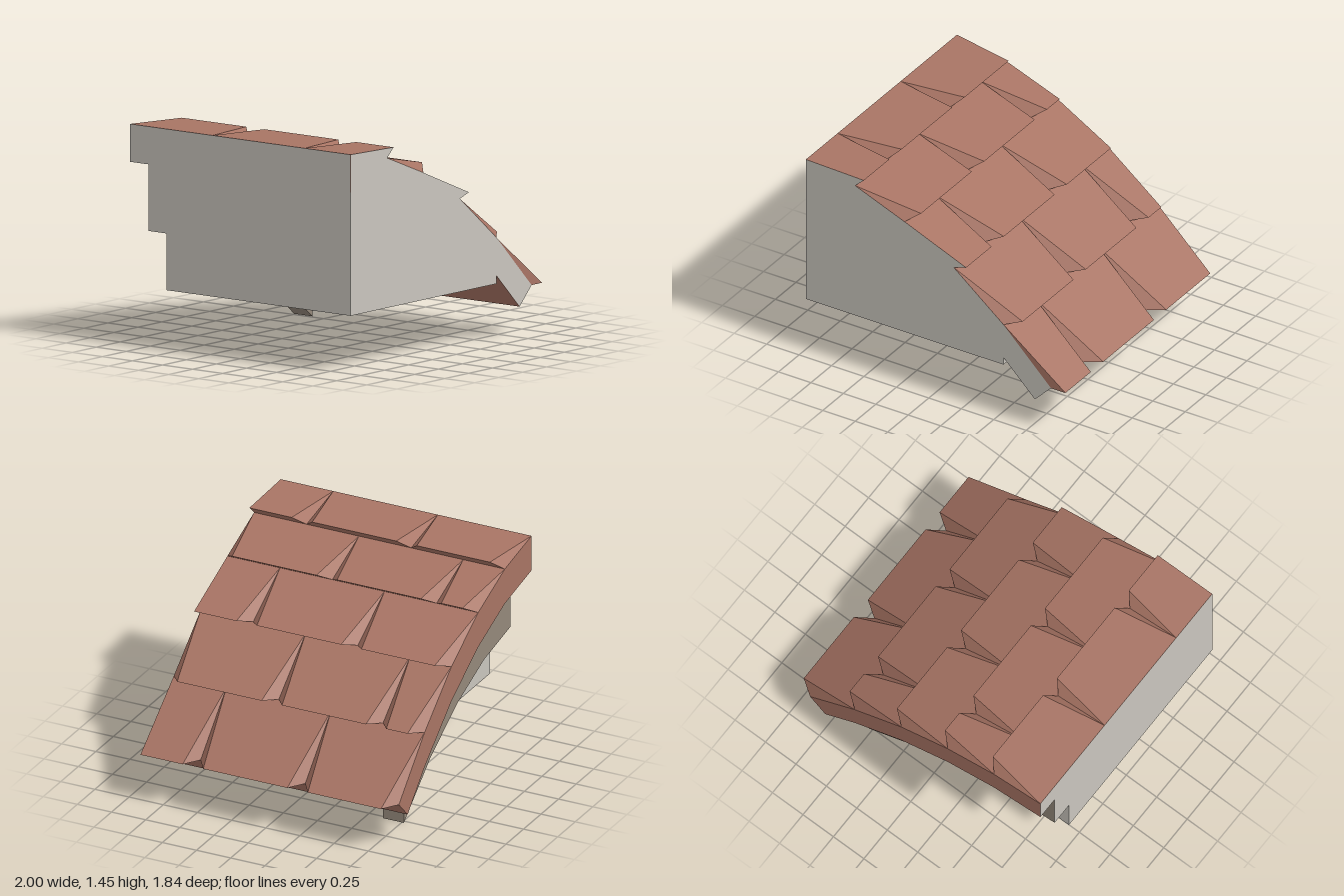
import * as THREE from 'three';

const Z = 0.917, TAPER = 0.075;
// rafter line under the tiles (x, y), and the raised lower edge of each tile row
const base = [[-1, 1.45], [-0.62, 1.375], [-0.24, 1.225], [0.14, 1.0], [0.523, 0.69], [0.89, 0.325]];
const lips = [[-0.553, 1.437], [-0.16, 1.275], [0.235, 1.03], [0.623, 0.707], [1, 0.325]];
const joints = [[-0.232, 0.533], [-0.613, 0.15]]; // staggered from row to row

const drop = (pts, d) => pts.map(([x, y]) => [x, y - d]);
const shapeOf = (pts) => new THREE.Shape(pts.map(([x, y]) => new THREE.Vector2(x, y)));

// outline in x/y extruded between two z positions
function slab(name, pts, z0, z1, material) {
  const g = new THREE.ExtrudeGeometry(shapeOf(pts), { depth: z1 - z0, bevelEnabled: false });
  g.translate(0, 0, z0);
  const m = new THREE.Mesh(g, material);
  m.name = name;
  return m;
}

// one wedge tile: flush at its top, lifted at its lower edge, tapered at the joints
function wedge(out, s, r, b, z0, z1, t0, t1) {
  const p = ([x, y], z) => [x, y, z];
  const S0 = p(s, z0), S1 = p(s, z1), B0 = p(b, z0), B1 = p(b, z1);
  const R0 = p(r, z0 + t0), R1 = p(r, z1 - t1);
  for (const tri of [[S0, S1, R1], [S0, R1, R0], [R0, R1, B1], [R0, B1, B0], [S0, R0, B0], [S1, B1, R1]])
    out.push(...tri.flat());
}

export function createModel() {
  const clay = new THREE.MeshStandardMaterial({ color: 0xa87464 });
  clay.name = 'clay tile';
  const plaster = new THREE.MeshStandardMaterial({ color: 0xc9c5bd });
  plaster.name = 'plaster';
  const timber = new THREE.MeshStandardMaterial({ color: 0x94887a });
  timber.name = 'timber';

  const group = new THREE.Group();
  group.name = 'roofSection';

  // lower side of the roof deck, and the eave corner
  const under = drop(base.slice(0, 5), 0.25);
  const eave = [0.765, 0.2];
  group.add(slab('roofDeck', [...base, eave, ...[...under].reverse()], -Z, Z - 0.001, clay));

  // tile rows
  lips.forEach((lip, i) => {
    const cuts = [-Z, ...joints[i % 2], Z];
    const pos = [];
    for (let k = 0; k < 3; k++) {
      const flush = k === 2 && i % 2 === 0; // odd courses end square at the front
      wedge(pos, base[i], lip, base[i + 1], cuts[k], cuts[k + 1], TAPER, flush ? 0 : TAPER);
    }
    const g = new THREE.BufferGeometry();
    g.setAttribute('position', new THREE.Float32BufferAttribute(pos, 3));
    g.computeVertexNormals();
    const row = new THREE.Mesh(g, clay);
    row.name = 'tileRow' + (i + 1);
    group.add(row);
  });

  // curved timber beam under the rear verge
  const beam = [...under, ...drop(under, 0.44).reverse()];
  group.add(slab('curvedBeam', beam, -0.765, -0.613, timber));

  // wall block filling the space below the roof
  const wall = [[-1, 0.385], [0.523, 0.385], ...[...under].reverse()];
  group.add(slab('wall', wall, -0.613, Z - 0.001, plaster));

  // plaster face closing the front
  const front = [
    base[0], lips[0], base[1], base[2], lips[2], base[3], base[4], base[5],
    eave, under[4], [0.523, 0.385], [-1, 0.385],
  ];
  const frontFace = new THREE.Mesh(new THREE.ShapeGeometry(shapeOf(front)), plaster);
  frontFace.position.z = Z + 0.001;
  frontFace.name = 'frontFace';
  group.add(frontFace);

  // plaster face closing the ridge end, stepped at the back (z, y)
  const end = [
    [Z, 0.385], [Z, 1.45], [-Z, 1.45], [-Z, 1.2], [-0.765, 1.2],
    [-0.765, 0.76], [-0.613, 0.76], [-0.613, 0.385],
  ];
  const endFace = new THREE.Mesh(new THREE.ShapeGeometry(shapeOf(end)), plaster);
  endFace.rotation.y = -Math.PI / 2;
  endFace.position.x = -1.001;
  endFace.name = 'ridgeEndFace';
  group.add(endFace);

  return group;
}
